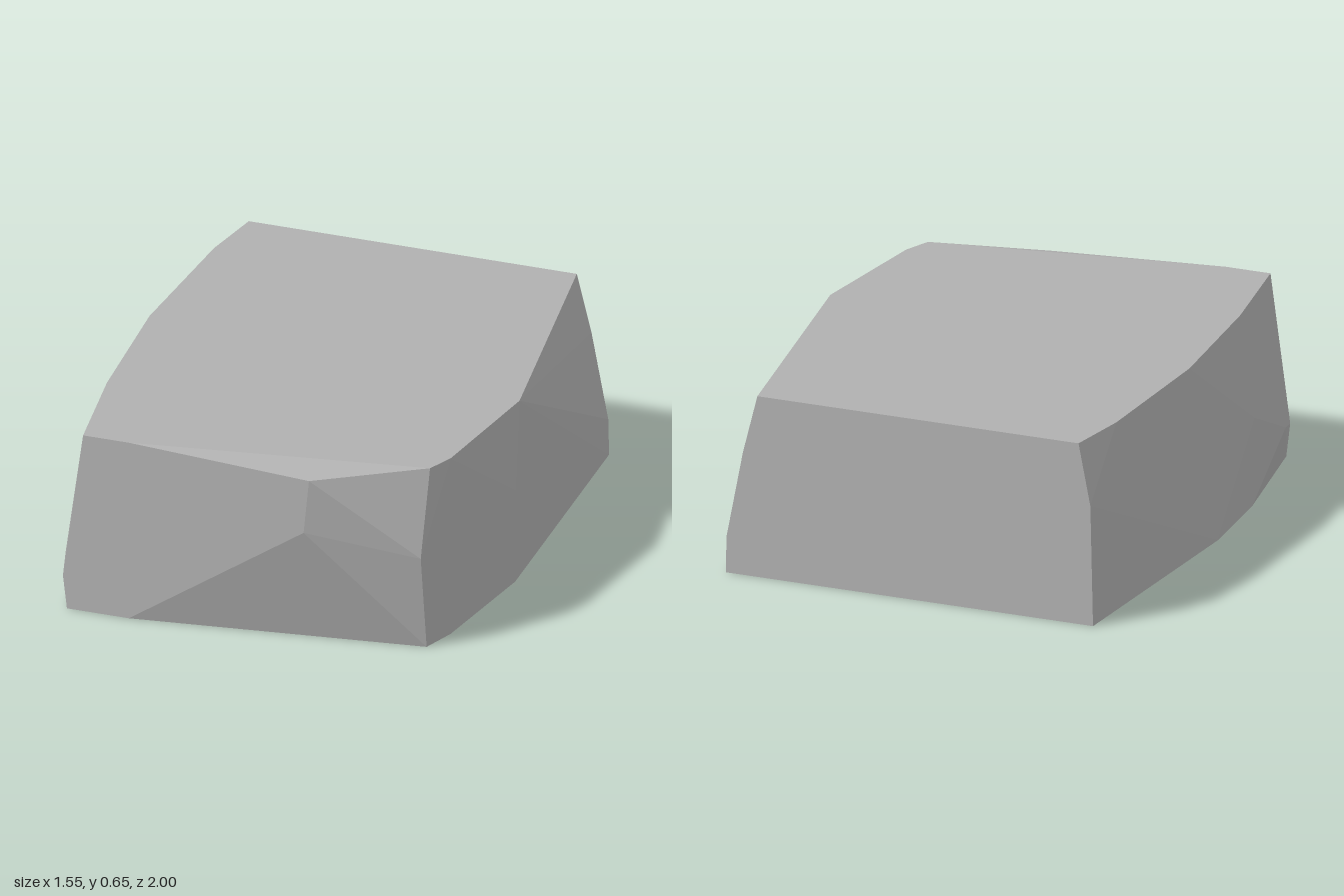
import * as THREE from 'three';
import { ConvexGeometry } from 'three/addons/geometries/ConvexGeometry.js';

const H = 0.65; // height of the flat top

export function createModel() {
  const group = new THREE.Group();
  group.name = 'stoneBlock';

  const stone = new THREE.MeshStandardMaterial({ color: 0xb0b0b0 });
  stone.name = 'stone grey';

  // outline of the flat top, as [x, z]
  const top = [
    [-0.72, -1], [-0.735, -0.73], [-0.7, -0.08], [-0.6, 0.53], [-0.49, 1],
    [-0.32, 1], [0.72, 0.81], [0.75, 0.7], [0.765, 0.13], [0.5, -1],
  ];
  // outline of the flat underside, as [x, z]
  const base = [
    [-0.775, -1], [-0.745, 0.05], [-0.685, 0.45], [-0.55, 1],
    [-0.32, 1], [0.72, 0.84], [0.75, 0.7], [0.77, 0.18], [0.62, -1],
  ];
  // chipped corners between them, as [x, y, z]
  const chips = [
    [-0.765, 0.43, -1], [-0.67, 0.3, 0.5], [-0.61, 0.15, 0.87], [-0.565, 0.12, 1],
    [0.33, 0.42, 1], [0.35, 0.615, 1], [0.715, 0.34, 0.88],
    [0.772, 0.34, 0.18], [0.555, 0.44, -1], [0.617, 0.13, -1],
  ];

  const points = [
    ...top.map(([x, z]) => new THREE.Vector3(x, H, z)),
    ...base.map(([x, z]) => new THREE.Vector3(x, 0, z)),
    ...chips.map((p) => new THREE.Vector3(...p)),
  ];

  // faceted block wrapped around the corners
  const block = new THREE.Mesh(new ConvexGeometry(points), stone);
  block.name = 'block';
  group.add(block);
  return group;
}
